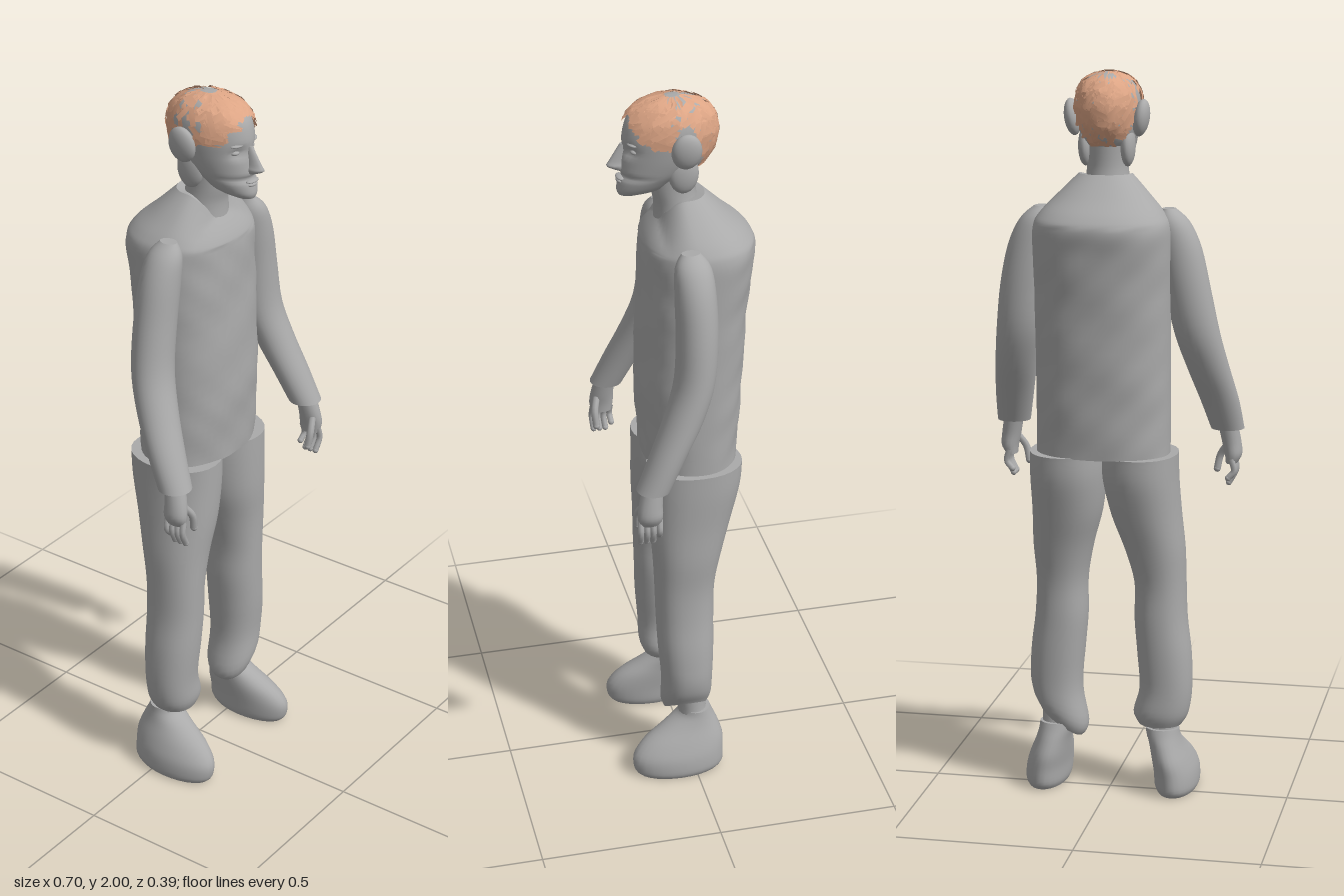
import * as THREE from 'three';

const skin = new THREE.MeshStandardMaterial({ color: 0xaaaaaa });
skin.name = 'plain grey';
const hairColour = new THREE.MeshStandardMaterial({ color: 0xdda585, side: THREE.DoubleSide });
hairColour.name = 'copper hair';

// Smooth surface through horizontal rings [y, x, z, radiusX, radiusZ], listed from bottom to top
function loft(rings, { sides = 28, steps = 4, power = 1, warp } = {}) {
  const pos = [], index = [];
  const rows = (rings.length - 1) * steps;
  const bend = (c) => Math.sign(c) * Math.abs(c) ** power;
  for (let r = 0; r <= rows; r++) {
    const i = Math.min(Math.floor(r / steps), rings.length - 2);
    const t = r / steps - i;
    const [a, b, c, d] = [-1, 0, 1, 2].map((k) => rings[Math.min(Math.max(i + k, 0), rings.length - 1)]);
    const [y, x, z, rx, rz] = b.map((v, k) => 0.5 * (2 * v + (c[k] - a[k]) * t
      + (2 * a[k] - 5 * v + 4 * c[k] - d[k]) * t * t + (3 * v - a[k] - 3 * c[k] + d[k]) * t * t * t));
    for (let j = 0; j < sides; j++) {
      const angle = (j / sides) * Math.PI * 2;
      const p = new THREE.Vector3(x + rx * bend(Math.cos(angle)), y, z + rz * bend(Math.sin(angle)));
      if (warp) warp(p);
      pos.push(p.x, p.y, p.z);
    }
  }
  for (let r = 0; r < rows; r++) for (let j = 0; j < sides; j++) {
    const a = r * sides + j, b = r * sides + (j + 1) % sides;
    index.push(a, a + sides, b, b, a + sides, b + sides);
  }
  // End caps with their own corners, so the rims stay sharp
  for (const row of [0, rows]) {
    const start = pos.length / 3, ring = pos.slice(row * sides * 3, (row + 1) * sides * 3);
    const mid = [0, 1, 2].map((k) => ring.reduce((s, v, n) => s + (n % 3 === k ? v : 0), 0) / sides);
    pos.push(...ring, ...mid);
    for (let j = 0; j < sides; j++) {
      const a = start + j, b = start + (j + 1) % sides;
      index.push(start + sides, row ? b : a, row ? a : b);
    }
  }
  const g = new THREE.BufferGeometry();
  g.setAttribute('position', new THREE.Float32BufferAttribute(pos, 3));
  g.setIndex(index);
  g.computeVertexNormals();
  return g;
}

function add(parent, name, geometry, material = skin) {
  const mesh = new THREE.Mesh(geometry, material);
  mesh.name = name;
  parent.add(mesh);
  return mesh;
}

function ball(parent, name, [x, y, z], [rx, ry, rz]) {
  const mesh = add(parent, name, new THREE.SphereGeometry(1, 18, 12));
  mesh.position.set(x, y, z);
  mesh.scale.set(rx, ry, rz);
  return mesh;
}

const headRings = [
  [1.735, 0.01, 0.135, 0.022, 0.028], [1.75, 0.01, 0.105, 0.043, 0.063], [1.78, 0.01, 0.08, 0.06, 0.083],
  [1.81, 0.01, 0.052, 0.071, 0.108], [1.85, 0.01, 0.036, 0.08, 0.119], [1.9, 0.01, 0.029, 0.085, 0.122],
  [1.94, 0.01, 0.027, 0.079, 0.112], [1.97, 0.01, 0.024, 0.062, 0.087], [1.988, 0.01, 0.022, 0.036, 0.05],
  [1.994, 0.01, 0.022, 0.01, 0.014],
];

// Point just above the scalp at a given angle and height
function scalp(angle, y, lift) {
  let i = 0;
  while (i < headRings.length - 2 && headRings[i + 1][0] < y) i++;
  const a = headRings[i], b = headRings[i + 1];
  const t = Math.min(Math.max((y - a[0]) / (b[0] - a[0]), 0), 1);
  const [, x, z, rx, rz] = a.map((v, k) => v + (b[k] - v) * t);
  return new THREE.Vector3(x + (rx + lift) * Math.cos(angle), y + lift * 0.3, z + (rz + lift) * Math.sin(angle));
}

// Tangle of short flat locks over the fringe, crown and back of the head
function hairGeometry() {
  let seed = 7;
  const rand = () => (seed = (seed * 16807) % 2147483647) / 2147483647;
  const pos = [], index = [];
  let made = 0;
  while (made < 420) {
    const angle = rand() * Math.PI * 2, s = Math.sin(angle), c = Math.cos(angle);
    const low = s > 0 ? 1.955 - 0.085 * c * c : 1.79 + 0.1 * c * c;
    const y = low + (1.995 - low) * rand();
    const z = scalp(angle, y, 0).z;
    if (z > -0.035 && z < 0.045 && rand() < (y < 1.93 ? 1 : 0.75)) continue;
    made++;
    const lift = 0.004 + rand() * 0.007, slant = rand() * Math.PI, length = 0.02 + rand() * 0.015;
    const base = pos.length / 3, spread = 0.1;
    for (let k = -1; k <= 1; k++) for (const w of [-0.007, 0.007]) {
      const u = k * length * Math.cos(slant) - w * Math.sin(slant);
      const v = k * length * Math.sin(slant) + w * Math.cos(slant);
      const p = scalp(angle + u / spread, Math.min(Math.max(y + v, low), 1.994), lift);
      pos.push(p.x, p.y, p.z);
    }
    for (const k of [0, 2]) {
      const n = base + k;
      index.push(n, n + 1, n + 2, n + 2, n + 1, n + 3);
    }
  }
  const g = new THREE.BufferGeometry();
  g.setAttribute('position', new THREE.Float32BufferAttribute(pos, 3));
  g.setIndex(index);
  g.computeVertexNormals();
  return g;
}

function buildHead(parent) {
  const head = new THREE.Group();
  head.name = 'head';
  parent.add(head);
  // Eye sockets and cheeks are pressed into the face
  add(head, 'skull', loft(headRings, {
    sides: 40, steps: 5,
    warp: (p) => {
      if (p.z < 0.08) return;
      for (const x of [-0.023, 0.043]) {
        p.z -= 0.014 * Math.exp(-(((p.x - x) / 0.018) ** 2) - ((p.y - 1.862) / 0.013) ** 2);
      }
      p.z -= 0.008 * Math.exp(-((p.y - 1.79) ** 2) / 0.00006);
    },
  }));
  add(head, 'neck', loft([
    [1.64, 0.01, 0.01, 0.068, 0.062], [1.7, 0.01, 0.012, 0.06, 0.058],
    [1.75, 0.01, 0.02, 0.056, 0.06], [1.82, 0.01, 0.02, 0.058, 0.065],
  ]));
  add(head, 'nose', loft([
    [1.803, 0.01, 0.155, 0.012, 0.012], [1.815, 0.01, 0.162, 0.016, 0.031],
    [1.83, 0.01, 0.157, 0.012, 0.029], [1.875, 0.01, 0.145, 0.008, 0.013],
  ], { sides: 14 }));
  ball(head, 'upperLip', [0.01, 1.783, 0.158], [0.023, 0.005, 0.012]);
  ball(head, 'lowerLip', [0.01, 1.774, 0.157], [0.02, 0.006, 0.012]);
  for (const s of [-1, 1]) {
    ball(head, 'eye', [0.01 + s * 0.033, 1.862, 0.126], [0.014, 0.007, 0.012]);
    ball(head, 'brow', [0.01 + s * 0.033, 1.883, 0.133], [0.021, 0.005, 0.012]).rotation.y = s * 0.3;
    ball(head, 'ear', [0.01 + s * 0.093, 1.875, 0.004], [0.022, 0.05, 0.04]).rotation.z = -s * 0.15;
    ball(head, 'jawCorner', [0.01 + s * 0.057, 1.8, 0.004], [0.02, 0.055, 0.04]);
  }
  add(head, 'hair', hairGeometry(), hairColour);
}

function buildArm(parent, s) {
  const arm = new THREE.Group();
  arm.name = s > 0 ? 'leftArm' : 'rightArm';
  parent.add(arm);
  add(arm, 'sleeve', loft([
    [1.015, 0.302, 0.14, 0.046, 0.045], [1.1, 0.288, 0.1, 0.053, 0.048], [1.2, 0.267, 0.053, 0.058, 0.053],
    [1.3, 0.246, 0.02, 0.062, 0.054], [1.42, 0.227, 0.01, 0.062, 0.055], [1.53, 0.207, 0.01, 0.058, 0.054],
    [1.6, 0.188, 0.012, 0.044, 0.047], [1.635, 0.175, 0.015, 0.018, 0.024],
  ].map(([y, x, z, rx, rz]) => [y, s * x + 0.018 * Math.min(Math.max((y - 1.05) / 0.4, 0), 1), z, rx, rz])));
  add(arm, 'palm', loft([
    [0.915, 0.312, 0.152, 0.016, 0.028], [0.94, 0.317, 0.152, 0.024, 0.034],
    [0.975, 0.312, 0.15, 0.027, 0.032], [1.03, 0.302, 0.14, 0.028, 0.028],
  ].map(([y, x, ...r]) => [y, s * x, ...r]), { sides: 16 }));
  // Four slightly curled fingers and a thumb
  const digit = (name, points, radius) => {
    const path = new THREE.CatmullRomCurve3(points.map(([x, y, z]) => new THREE.Vector3(s * x, y, z)));
    add(arm, name, new THREE.TubeGeometry(path, 8, radius, 8));
    ball(arm, name + 'Tip', path.getPoint(1).toArray(), [radius, radius, radius]);
  };
  for (let i = 0; i < 4; i++) {
    const z = 0.126 + i * 0.017;
    digit('finger', [[0.314, 0.93, z], [0.322, 0.895, z + 0.002], [0.306, 0.86 + (i === 0 ? 0.015 : 0), z]], 0.0085);
  }
  digit('thumb', [[0.3, 0.965, 0.168], [0.277, 0.93, 0.178], [0.268, 0.89, 0.176]], 0.01);
}

function buildLeg(parent, s) {
  const leg = new THREE.Group();
  leg.name = s > 0 ? 'leftLeg' : 'rightLeg';
  parent.add(leg);
  const place = (rings) => rings.map(([y, x, ...r]) =>
    [y, s * x + 0.013 * Math.min(Math.max((y - 0.6) / 0.3, 0), 1), ...r]);
  add(leg, 'trouserLeg', loft(place([
    [0.195, 0.14, 0.015, 0.06, 0.058], [0.23, 0.142, 0.015, 0.077, 0.07], [0.3, 0.155, 0.015, 0.073, 0.071],
    [0.4, 0.15, 0.017, 0.075, 0.077], [0.5, 0.14, 0.018, 0.073, 0.08], [0.6, 0.138, 0.018, 0.071, 0.083],
    [0.7, 0.128, 0.01, 0.083, 0.095], [0.8, 0.11, 0, 0.096, 0.113], [0.9, 0.101, -0.012, 0.103, 0.127],
    [0.972, 0.1, -0.015, 0.103, 0.13],
  ]), {
    power: 0.92,
    // The left hem is cut on a slant
    warp: (p) => { if (s > 0 && p.y < 0.35) p.y += (p.x - 0.15) * 0.7 * Math.min((0.35 - p.y) / 0.15, 1); },
  }));
  add(leg, 'ankle', loft(place([
    [0.16, 0.152, -0.005, 0.046, 0.042], [0.2, 0.15, 0, 0.042, 0.04], [0.28, 0.15, 0.01, 0.045, 0.045],
  ]), { sides: 18 }));
  add(leg, 'shoe', loft(place([
    [0.002, 0.184, 0.045, 0.054, 0.115], [0.02, 0.184, 0.045, 0.061, 0.128], [0.06, 0.181, 0.045, 0.061, 0.13],
    [0.1, 0.172, 0.03, 0.056, 0.115], [0.14, 0.161, 0.007, 0.049, 0.08], [0.17, 0.153, -0.008, 0.047, 0.052],
    [0.19, 0.15, -0.01, 0.047, 0.042],
  ])));
}

export function createModel() {
  const model = new THREE.Group();
  model.name = 'standingMan';
  // Shirt with faint creases and a neckline that dips at the front
  add(model, 'shirt', loft([
    [0.97, 0.015, -0.017, 0.183, 0.128], [1.08, 0.015, -0.017, 0.183, 0.135], [1.2, 0.015, -0.019, 0.183, 0.141],
    [1.4, 0.015, -0.028, 0.184, 0.143], [1.52, 0.015, -0.037, 0.186, 0.147], [1.59, 0.015, -0.042, 0.184, 0.15],
    [1.625, 0.015, -0.036, 0.168, 0.138], [1.67, 0.014, -0.018, 0.128, 0.105], [1.728, 0.012, 0, 0.072, 0.062],
  ], {
    sides: 48, steps: 6, power: 0.9,
    warp: (p) => {
      if (p.y < 1.6) p.z += 0.0025 * Math.sin(p.y * 45 + p.x * 20) * Math.sin(p.x * 38 + p.y * 12);
      else p.y -= ((p.y - 1.6) / 0.125) * 0.055 * Math.min(Math.max(p.z / 0.062, 0), 1) ** 2;
    },
  }));
  buildHead(model);
  for (const s of [-1, 1]) {
    buildArm(model, s);
    buildLeg(model, s);
  }
  return model;
}
